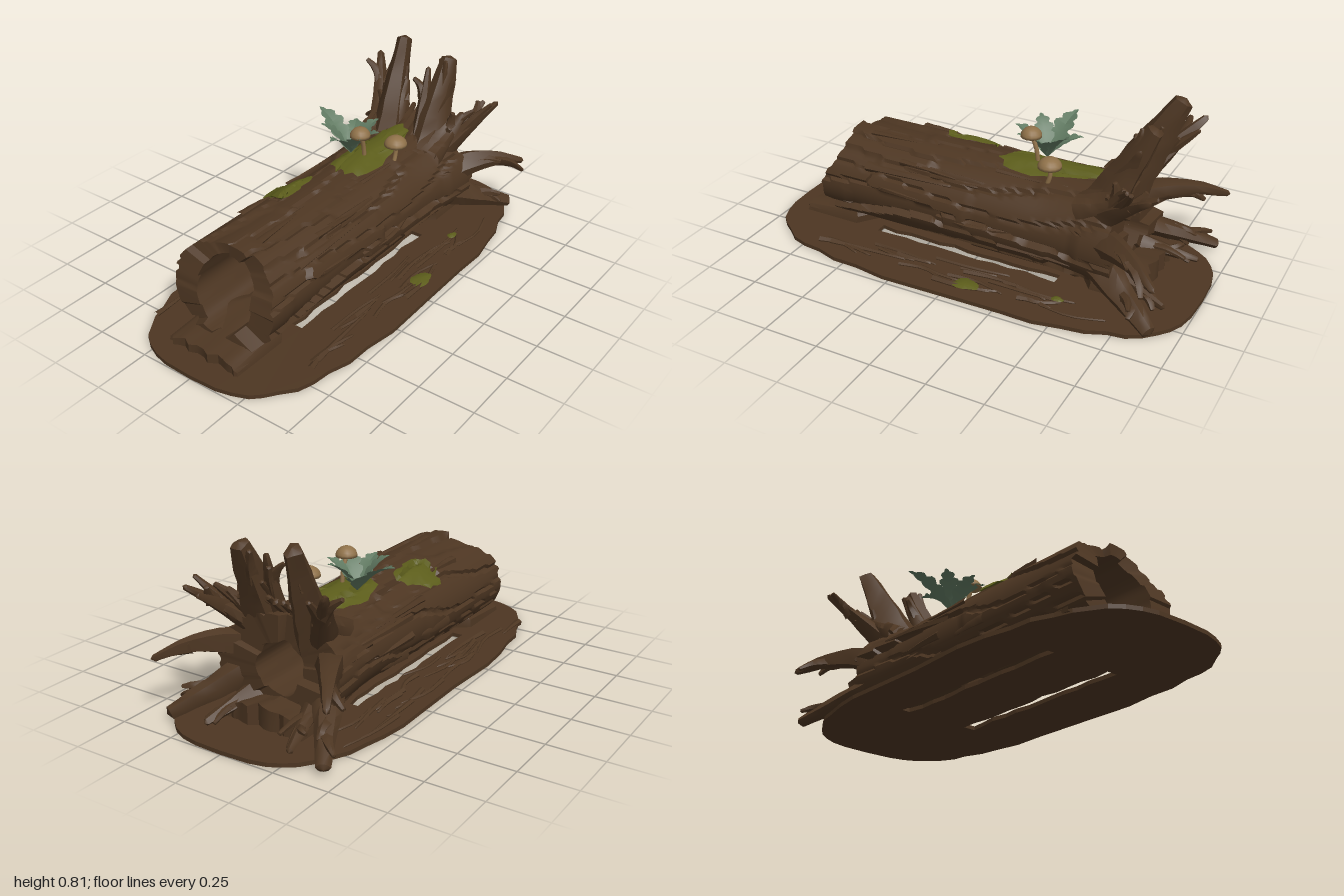
import * as THREE from 'three';
import { toCreasedNormals } from 'three/addons/utils/BufferGeometryUtils.js';

const mat = (name, color, side = THREE.FrontSide) => {
  const m = new THREE.MeshStandardMaterial({ color, side });
  m.name = name;
  return m;
};
const V = (x, y, z) => new THREE.Vector3(x, y, z);
const hash = (a, b = 0) => {
  const s = Math.sin(a * 127.1 + b * 311.7) * 43758.5453;
  return s - Math.floor(s);
};

// Joins rows of points into a surface
function sheet(rows, crease) {
  const n = rows[0].length, index = [];
  for (let i = 0; i < rows.length - 1; i++) for (let j = 0; j < n - 1; j++) {
    const a = i * n + j, b = a + n;
    index.push(a, b, a + 1, b, b + 1, a + 1);
  }
  const g = new THREE.BufferGeometry().setFromPoints(rows.flat());
  g.setIndex(index);
  return toCreasedNormals(g, crease);
}

// Point on the trunk's bark: long plates split by grooves, flaring at the roots
const CY = 0.24, CZ = -0.03, STRIPS = 15;
function bark(x, th, lift = 0) {
  const u = (th / (Math.PI * 2)) * STRIPS + 0.45 * Math.sin(x * 4 + Math.sin(th) * 3);
  const k = ((Math.floor(u) % STRIPS) + STRIPS) % STRIPS;
  const plate = (hash(k, Math.floor((x + 1) * 2 + hash(k) * 3)) - 0.5) * 0.026;
  const groove = u - Math.floor(u) < 0.15 ? -0.012 : 0;
  const r = 1 + 0.12 * THREE.MathUtils.smoothstep(x, 0.3, 0.72);
  const d = plate + groove + lift;
  return V(x, Math.max(0.025, CY + (0.207 * r + d) * Math.sin(th)), CZ + (0.266 * r + d) * Math.cos(th));
}

// Hollow trunk: outer bark, ragged ends and tunnel wall in one closed loop
function trunkGeometry() {
  const N = 60, A = 105, rows = [];
  const ring = (t, inner) => Array.from({ length: A + 1 }, (_, j) => {
    const th = ((j % A) / A) * Math.PI * 2, s = Math.sin(th), k = Math.floor((j % A) / 7);
    const x0 = -0.735 + (s > 0 ? 0.07 : 0.03) * s + 0.07 * (hash(k, 9) - 0.5);
    const x1 = 0.67 + 0.06 * (hash(k, 5) - 0.5);
    const x = x0 + (x1 - x0) * t;
    if (!inner) return bark(x, th);
    const w = 1.35 - 0.35 * t + 0.03 * Math.sin(th * 7 + x * 3);
    return V(x, CY + 0.118 * w * s, CZ - 0.005 + 0.108 * w * Math.cos(th));
  });
  for (let i = 0; i <= N; i++) rows.push(ring(i / N, false));
  for (let i = 12; i >= 0; i--) rows.push(ring(i / 12, true));
  rows.push(rows[0]);
  return sheet(rows, 0.7);
}

// Tapered, gnarled branch or root along a path, broken off bluntly
function branchGeometry(points, r0, r1, sides = 8, seg = 9) {
  const path = new THREE.CatmullRomCurve3(points);
  const g = new THREE.TubeGeometry(path, seg, 1, sides), p = g.attributes.position;
  const id = points[0].z * 50 + points[1].x * 31, v = V(0, 0, 0);
  for (let i = 0; i <= seg; i++) {
    const t = i / (seg - 1), r = i === seg ? 0 : r0 + (r1 - r0) * t;
    const from = path.getPointAt(i / seg), to = path.getPointAt(i === seg ? 1 : t * 0.97);
    for (let j = 0; j <= sides; j++) {
      const n = i * (sides + 1) + j;
      const k = 0.75 + 0.45 * hash(j % sides, id) + 0.14 * (hash(i, (j % sides) + id) - 0.5);
      v.fromBufferAttribute(p, n).sub(from).multiplyScalar(r * k).add(to);
      p.setXYZ(n, v.x, v.y, v.z);
    }
  }
  return toCreasedNormals(g, 0.8);
}

// Ragged moss cushion; place(x, z, lift) gives the surface it grows on
function mossGeometry(cx, cz, rx, rz, place) {
  const rows = [];
  for (let i = 0; i <= 6; i++) rows.push(Array.from({ length: 33 }, (_, j) => {
    const a = ((j % 32) / 32) * Math.PI * 2, t = i / 6;
    const r = t * (0.9 + 0.2 * (hash(j % 32, cx * 10) - 0.5) + 0.1 * Math.sin(a * 3 + 1));
    return place(cx + rx * r * Math.cos(a), cz + rz * r * Math.sin(a), 1 - t * t * 0.75);
  }));
  return sheet(rows, 0.8);
}

// Arching leaf with toothed edges, folded along its midrib
function leafGeometry(tip, width) {
  const base = V(0.22, 0.45, -0.11);
  const mid = base.clone().lerp(tip, 0.5).add(V(0, 0.05, 0));
  const curve = new THREE.QuadraticBezierCurve3(base, mid, tip);
  const side = tip.clone().sub(base).cross(V(0, 1, 0)).normalize();
  const rows = [];
  for (let i = 0; i <= 14; i++) {
    const t = i / 14, tooth = i % 3 === 0 ? 0.65 : 1;
    const w = width * (0.12 * (1 - t) + Math.sin(Math.PI * Math.pow(t, 0.9))) * tooth;
    rows.push([-1, 0, 1].map((s) => curve.getPoint(t).addScaledVector(side, w * s).add(V(0, Math.abs(s) * w * 0.3, 0))));
  }
  return sheet(rows, 0.5);
}

// Ground plate: wavy rounded outline with a ragged slit under each side of the trunk
function plateGeometry() {
  const pow = (c) => Math.sign(c) * Math.pow(Math.abs(c), 0.625);
  const ground = new THREE.Shape(Array.from({ length: 48 }, (_, i) => {
    const a = (i / 48) * Math.PI * 2, k = 1 - 0.05 * hash(i, 8);
    return new THREE.Vector2(pow(Math.cos(a)), 0.485 * k * pow(Math.sin(a)));
  }));
  for (const z of [0.145, -0.205]) {
    ground.holes.push(new THREE.Path(Array.from({ length: 26 }, (_, i) => {
      const back = i > 12, step = back ? 25 - i : i;
      return new THREE.Vector2(-0.5 + step * 0.075, -z + (back ? -0.024 : 0.024) + 0.022 * (hash(i, z) - 0.5));
    })));
  }
  const g = new THREE.ExtrudeGeometry(ground, { depth: 0.018, bevelEnabled: false });
  return g.rotateX(-Math.PI / 2).translate(0, 0.004, 0);
}

// Low stepped bed running through and out of the hollow, narrow in the middle
function bedGeometry() {
  const rows = [];
  for (let i = -1; i <= 25; i++) {
    const s = THREE.MathUtils.clamp(i, 0, 24), rise = i !== s ? 0 : 1;
    const half = s > 4 && s < 21 ? 0.1 : 0.19;
    rows.push(Array.from({ length: 17 }, (_, j) => {
      const a = (j / 16) * Math.PI;
      const h = (0.045 + 0.045 * Math.min(1, s / 4) + 0.015 * hash(j, Math.floor(s / 4))) * rise;
      return V(-0.89 + s * 0.069 + 0.03 * (hash(j, 4) - 0.5), 0.015 + h * Math.sqrt(Math.abs(Math.sin(a))), CZ + half * Math.cos(a));
    }));
  }
  return sheet(rows, 0.5);
}

export function createModel() {
  const model = new THREE.Group();
  const wood = mat('bark brown', 0x4d3622);
  const moss = mat('moss green', 0x5c5d1b, THREE.DoubleSide);
  const leaf = mat('leaf green', 0x617a62, THREE.DoubleSide);
  const cap = mat('mushroom tan', 0x8f7149);
  const add = (name, geo, material, parent = model) => {
    const m = new THREE.Mesh(geo, material);
    m.name = name;
    parent.add(m);
    return m;
  };
  const group = (name) => {
    const g = new THREE.Group();
    g.name = name;
    model.add(g);
    return g;
  };
  let seed = 7;
  const rand = (lo, hi) => lo + (hi - lo) * hash(seed++, 3);

  add('groundPlate', plateGeometry(), wood);
  add('woodenBed', bedGeometry(), wood);
  add('hollowTrunk', trunkGeometry(), wood);

  // Loose strips of bark along the trunk
  const strips = group('barkStrips');
  for (let i = 0; i < 18; i++) {
    const th = rand(-0.5, Math.PI + 0.5), x = rand(-0.72, 0.2), len = rand(0.2, 0.45), bend = rand(-0.07, 0.07);
    const path = [0, 0.5, 1].map((t) => bark(x + len * t, th + bend * t, -0.006));
    add('barkStrip', branchGeometry(path, rand(0.014, 0.024), 0.008, 6), wood, strips);
  }

  // Broken roots spread from the trunk's rim, each forking into splinters
  const roots = group('brokenRoots');
  const addRoot = ({ angle, r, end, arch }, tip, side) => {
    const base = V(0.56, CY + 0.15 * Math.sin(angle), CZ + side * 0.19 * Math.cos(angle));
    const path = [0, 0.35, 0.7, 1].map((t) => base.clone().lerp(tip, t).add(V(0, arch * Math.sin(Math.PI * t), 0)));
    add('root', branchGeometry(path, r, end), wood, roots);
    for (let i = 0; i < 3; i++) {
      const from = path[1].clone().lerp(path[2], i * 0.4);
      const to = from.clone().lerp(tip, rand(0.5, 0.8)).add(V(rand(-0.05, 0.04), rand(-0.04, 0.06), rand(-0.06, 0.06)));
      to.y = Math.max(0.035, to.y);
      const mid = from.clone().lerp(to, 0.5).add(V(0.01, 0.01, 0));
      add('splinter', branchGeometry([from, mid, to], r * 0.5, 0.01, 6), wood, roots);
    }
  };
  const pairs = [
    { angle: 0.95, r: 0.098, end: 0.038, arch: 0, front: V(0.77, 0.78, 0.06), back: V(0.79, 0.81, -0.205) },
    { angle: 1.2, r: 0.06, end: 0.013, arch: 0, front: V(0.7, 0.73, -0.012), back: V(0.68, 0.65, -0.115) },
    { angle: 0.8, r: 0.065, end: 0.015, arch: 0, front: V(0.7, 0.55, 0.19), back: V(0.73, 0.57, -0.27) },
    { angle: 0.7, r: 0.06, end: 0.014, arch: 0.01, front: V(0.84, 0.58, 0.29), back: V(0.84, 0.67, -0.38) },
    { angle: 0.2, r: 0.07, end: 0.014, arch: 0.045, front: V(0.92, 0.27, 0.41), back: V(0.95, 0.28, -0.46) },
    { angle: -0.3, r: 0.07, end: 0.026, arch: 0, front: V(0.9, 0.035, 0.36), back: V(0.93, 0.035, -0.43) },
    { angle: -0.9, r: 0.05, end: 0.014, arch: 0, front: V(0.89, 0.04, 0.17), back: V(0.9, 0.04, -0.25) },
  ];
  for (const p of pairs) {
    addRoot(p, p.front, 1);
    addRoot(p, p.back, -1);
  }
  // Upright splinters along the rim above the opening
  for (let i = 0; i < 13; i++) {
    const z = 0.17 - i * 0.0335, h = 0.5 + 0.05 * hash(i, 2);
    add('rimSplinter', branchGeometry([V(0.48, 0.4, z), V(0.6, h - 0.06, z), V(0.68, h, z * 1.05)], 0.04, 0.014, 6), wood, roots);
  }

  // Twigs lying on the ground
  const twigs = group('groundTwigs');
  for (let i = 0; i < 40; i++) {
    const x = rand(-0.8, 0.45), z = (i % 2 ? 1 : -1) * rand(0.26, 0.41) - 0.01, len = rand(0.15, 0.38);
    const path = [0, 0.5, 1].map((t) => V(x + len * t, 0.024, z + t * rand(-0.04, 0.04)));
    add('twig', branchGeometry(path, rand(0.007, 0.018), 0.006, 5, 6), wood, twigs);
  }

  // Moss on the trunk and the ground
  const onTrunk = (x, z, l) => bark(x, Math.acos((z - CZ) / 0.27), 0.006 + 0.02 * l);
  const onGround = (x, z, l) => V(x, 0.028 + 0.012 * l, z);
  add('trunkMossLarge', mossGeometry(0.28, -0.05, 0.28, 0.115, onTrunk), moss);
  add('trunkMossSmall', mossGeometry(-0.17, -0.165, 0.14, 0.085, onTrunk), moss);
  add('groundMoss', mossGeometry(0.08, 0.38, 0.065, 0.045, onGround), moss);
  add('groundMossSmall', mossGeometry(0.47, 0.3, 0.03, 0.02, onGround), moss);

  // Leafy plant: a rosette with one long leaf reaching back
  const plant = group('leafyPlant');
  for (let i = 0; i < 7; i++) {
    const a = -1.35 + (i * Math.PI * 2) / 7, reach = i === 0 ? 0.22 : 0.13 + 0.03 * hash(i, 6);
    const tip = V(0.22 + reach * Math.cos(a), i === 0 ? 0.6 : 0.54 + 0.06 * hash(i, 1), -0.11 + reach * Math.sin(a));
    add('leaf', leafGeometry(tip, i === 0 ? 0.05 : 0.042), leaf, plant);
  }

  // Mushrooms: domed caps on bent stems
  const mushrooms = group('mushrooms');
  const addMushroom = (foot, top, r) => {
    const profile = [new THREE.Vector2(0.001, -0.014)];
    for (let i = 0; i <= 6; i++) {
      const a = (i / 6) * Math.PI * 0.5;
      profile.push(new THREE.Vector2(Math.max(0.001, r * Math.cos(a)), -0.012 + 0.044 * Math.sin(a)));
    }
    add('mushroomCap', new THREE.LatheGeometry(profile, 14), cap, mushrooms).position.copy(top);
    const mid = foot.clone().lerp(top, 0.5).add(V(0.008, 0, 0));
    add('mushroomStem', new THREE.TubeGeometry(new THREE.CatmullRomCurve3([foot, mid, top]), 6, 0.01, 8), cap, mushrooms);
  };
  addMushroom(V(0.215, 0.45, -0.03), V(0.18, 0.587, -0.03), 0.047);
  addMushroom(V(0.305, 0.42, 0.07), V(0.315, 0.518, 0.07), 0.053);
  return model;
}
